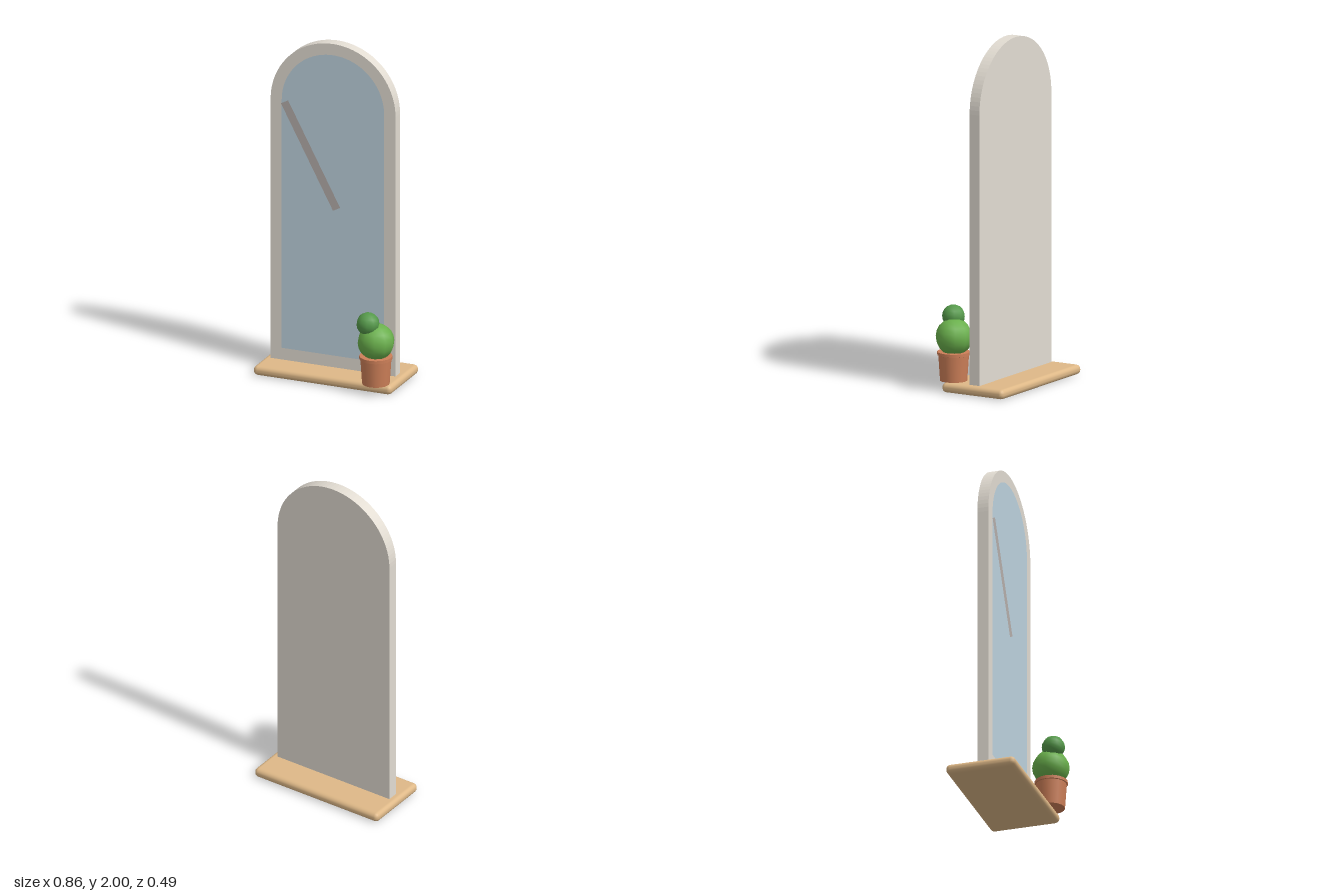
import * as THREE from 'three';
import { RoundedBoxGeometry } from 'three/addons/geometries/RoundedBoxGeometry.js';

const CX = -0.006; // centre line of the mirror

function part(name, geometry, color, x = 0, y = 0, z = 0) {
  const mesh = new THREE.Mesh(geometry, new THREE.MeshStandardMaterial({ color }));
  mesh.name = name;
  mesh.position.set(x, y, z);
  return mesh;
}

// Upright rectangle with a semicircular top
function archShape(half, bottom, top) {
  const spring = top - half;
  const s = new THREE.Shape();
  s.moveTo(-half, bottom);
  s.lineTo(half, bottom);
  s.lineTo(half, spring);
  s.absarc(0, spring, half, 0, Math.PI, false);
  s.lineTo(-half, bottom);
  return s;
}

export function createModel() {
  const model = new THREE.Group();
  model.name = 'archedMirror';

  // Wooden base slab with rounded edges
  model.add(part('base', new RoundedBoxGeometry(0.85, 0.056, 0.41, 2, 0.026), 0xdeb887, -0.005, 0.028, -0.04));

  // Solid arched frame, closed at the back
  const frame = new THREE.ExtrudeGeometry(archShape(0.384, 0.05, 2), {
    depth: 0.065, bevelEnabled: false, curveSegments: 24,
  });
  model.add(part('frame', frame, 0xe2dcd2, CX, 0, -0.066));

  // Mirror pane lying on the frame's front
  model.add(part('mirrorPane', new THREE.ShapeGeometry(archShape(0.315, 0.127, 1.933), 24), 0xbdd2de, CX, 0, 0.001));

  // Slanted reflection streak
  const streak = part('reflectionStreak', new THREE.PlaneGeometry(0.05, 0.68), 0xb5aeab, -0.143, 1.31, 0.003);
  streak.rotation.z = 0.49;
  model.add(streak);

  // Potted topiary at the front corner
  const plant = new THREE.Group();
  plant.name = 'pottedPlant';
  plant.position.set(0.319, 0.056, 0.142);
  const potProfile = [[0, 0], [0.078, 0], [0.078, 0], [0.088, 0.146], [0.088, 0.146],
    [0.094, 0.148], [0.094, 0.148], [0.094, 0.166], [0.094, 0.166], [0, 0.166]]
    .map(([r, y]) => new THREE.Vector2(r, y));
  plant.add(part('pot', new THREE.LatheGeometry(potProfile, 16), 0xcd7f58));
  plant.add(part('largeFoliage', new THREE.SphereGeometry(0.106, 10, 10), 0x6ab04c, 0, 0.25, -0.002));
  plant.add(part('smallFoliage', new THREE.SphereGeometry(0.066, 10, 10), 0x55994a, -0.038, 0.36, 0.025));
  model.add(plant);

  return model;
}
